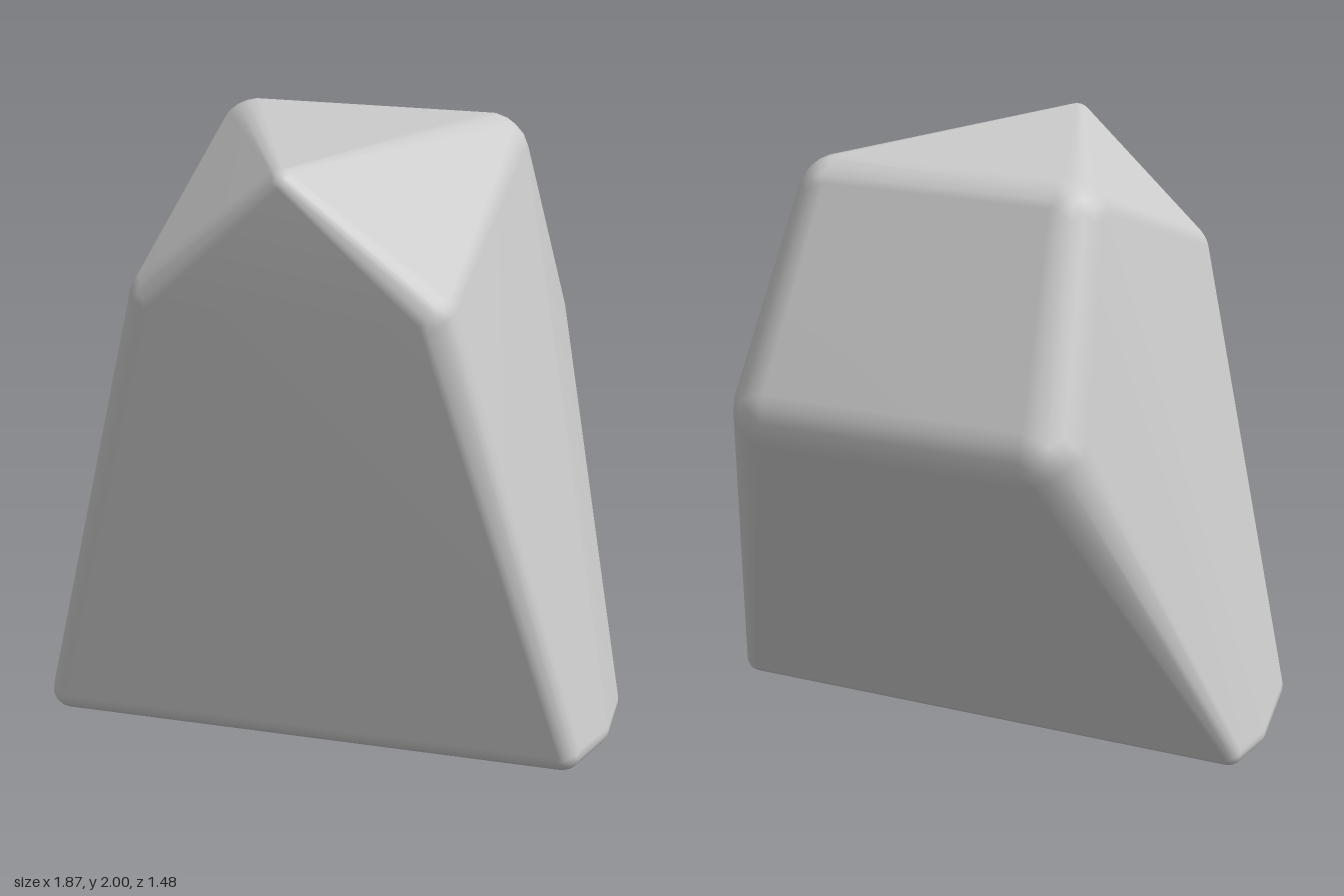
import * as THREE from 'three';
import { ConvexGeometry } from 'three/addons/geometries/ConvexGeometry.js';
import { mergeVertices } from 'three/addons/utils/BufferGeometryUtils.js';

// Rounded corners of the boulder: x, y, z, rounding radius (mirrored in x)
const CORNERS = [
  [0, 1.95, 0.69, 0.05],        // peak
  [0.42, 1.55, 0.6, 0.1],       // front shoulder
  [0.385, 1.84, -0.28, 0.145],  // upper back
  [0.44, 1.22, -0.57, 0.17],    // back bulge
  [0.835, 0.1, 0.43, 0.065],    // foot, front
  [0.885, 0.05, 0.16, 0.05],    // foot, middle
  [0.88, 0.07, -0.04, 0.05],    // foot, back
];

// Points spread over a small ball at each corner
function cornerPoints() {
  const ball = mergeVertices(new THREE.IcosahedronGeometry(1, 3).deleteAttribute('uv').deleteAttribute('normal'));
  const pos = ball.attributes.position;
  const points = [];
  for (const [x, y, z, r] of CORNERS) {
    for (const side of x === 0 ? [1] : [1, -1]) {
      for (let i = 0; i < pos.count; i++) {
        const p = new THREE.Vector3().fromBufferAttribute(pos, i).multiplyScalar(r);
        points.push(new THREE.Vector3(side * (x + p.x), y + p.y, z + p.z));
      }
    }
  }
  return points;
}

export function createModel() {
  const group = new THREE.Group();
  group.name = 'boulder';

  // Tight skin around the corner balls gives flat faces with soft bevels
  let geometry = new ConvexGeometry(cornerPoints());
  geometry.deleteAttribute('normal');
  geometry = mergeVertices(geometry, 1e-4);
  geometry.computeVertexNormals();

  const rock = new THREE.Mesh(geometry, new THREE.MeshStandardMaterial({ color: 0xcccccc }));
  rock.name = 'rock';
  group.add(rock);
  return group;
}
